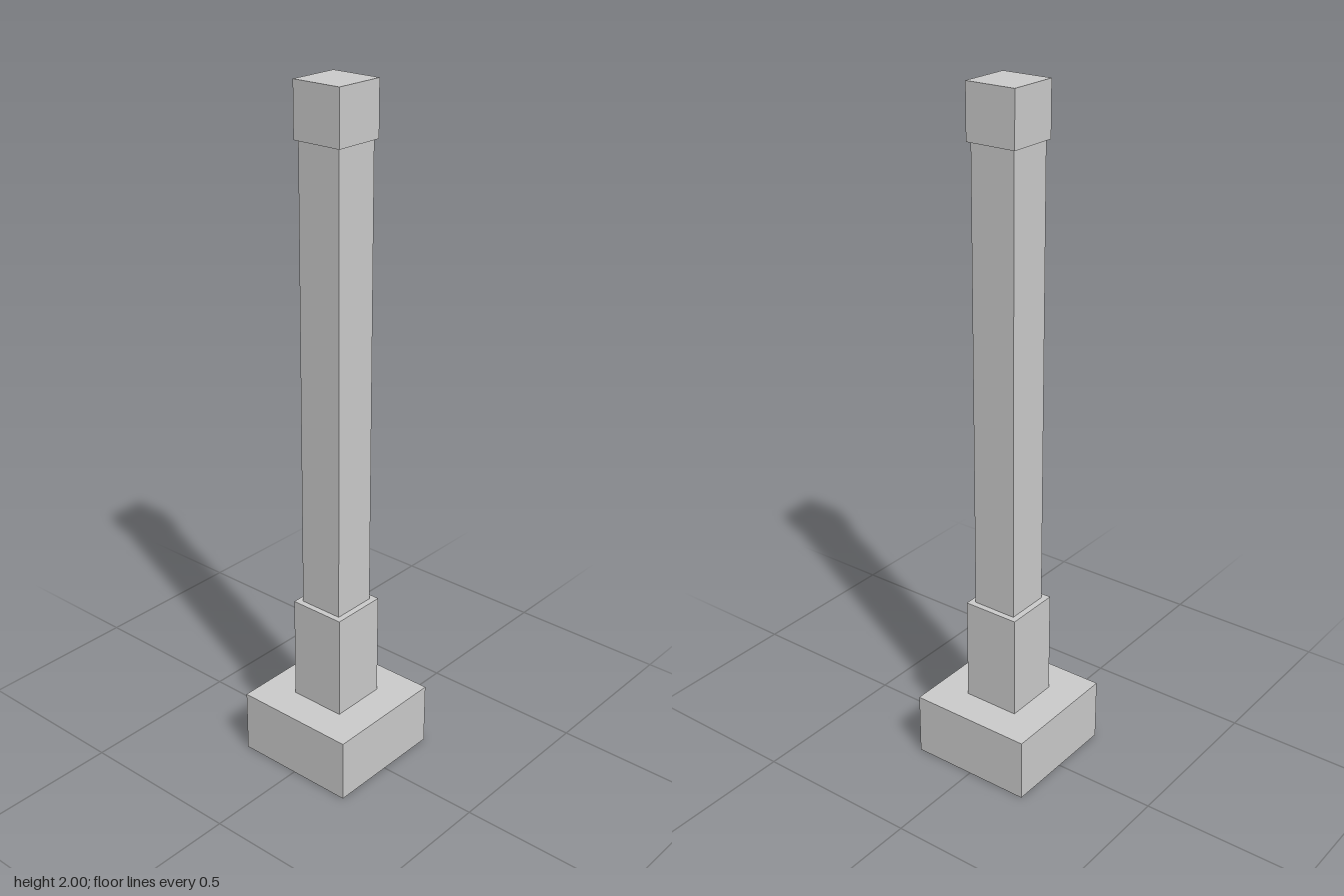
import * as THREE from 'three';

export function createModel() {
  const model = new THREE.Group();
  model.name = 'squareColumn';
  const material = new THREE.MeshStandardMaterial({ color: 0xcccccc });

  // Square block centred on the column axis, from height y0 to y1
  function addBlock(name, width, y0, y1) {
    const block = new THREE.Mesh(new THREE.BoxGeometry(width, y1 - y0, width), material);
    block.name = name;
    block.position.y = (y0 + y1) / 2;
    model.add(block);
  }

  addBlock('base', 0.378, 0, 0.189);
  addBlock('pedestal', 0.172, 0.189, 0.503);
  addBlock('shaft', 0.136, 0.503, 1.847);
  addBlock('capital', 0.153, 1.847, 2);

  return model;
}
